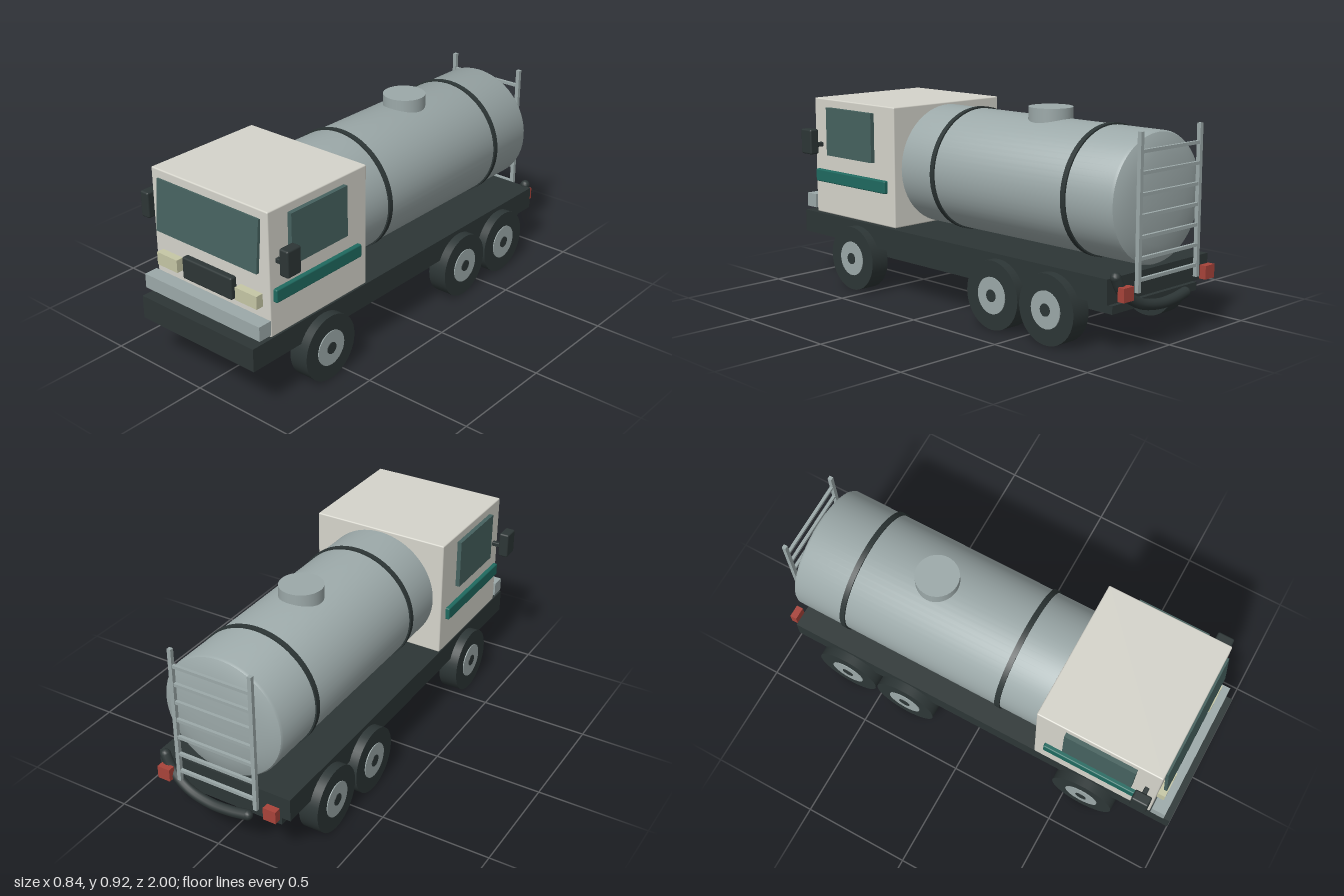
import * as THREE from 'three';
import { RoundedBoxGeometry } from 'three/addons/geometries/RoundedBoxGeometry.js';
import { toCreasedNormals } from 'three/addons/utils/BufferGeometryUtils.js';

const paint = (name, color) => {
  const m = new THREE.MeshStandardMaterial({ color });
  m.name = name;
  return m;
};

export function createModel() {
  const truck = new THREE.Group();
  truck.name = 'tankerTruck';

  const cabPaint = paint('cabCream', 0xd5d4cb);
  const dark = paint('darkRubber', 0x2d3636);
  const steel = paint('steel', 0x9ca9a9);
  const glass = paint('glass', 0x46625f);
  const teal = paint('teal', 0x1f6a60);
  const lamp = paint('headlightCream', 0xc6c7a5);
  const red = paint('tailRed', 0xa8433a);

  const add = (name, geometry, material, x = 0, y = 0, z = 0, parent = truck) => {
    const mesh = new THREE.Mesh(geometry, material);
    mesh.name = name;
    mesh.position.set(x, y, z);
    parent.add(mesh);
    return mesh;
  };
  // Box given by its low and high corner, with an optional rounded edge
  const box = (name, material, [x0, y0, z0], [x1, y1, z1], r = 0) => {
    const size = [x1 - x0, y1 - y0, z1 - z0];
    const g = r ? new RoundedBoxGeometry(...size, 2, r) : new THREE.BoxGeometry(...size);
    return add(name, g, material, (x0 + x1) / 2, (y0 + y1) / 2, (z0 + z1) / 2);
  };
  // Same box on both sides of the truck
  const pair = (name, material, [x0, y0, z0], [x1, y1, z1], r = 0) => {
    box(name + 'Left', material, [x0, y0, z0], [x1, y1, z1], r);
    box(name + 'Right', material, [-x1, y0, z0], [-x0, y1, z1], r);
  };

  // Chassis
  box('deck', dark, [-0.323, 0.215, -0.94], [0.323, 0.32, 1]);
  box('underframe', dark, [-0.272, 0.165, -0.925], [0.272, 0.2, 0.6]);

  // Cab and its front
  box('cab', cabPaint, [-0.327, 0.328, 0.32], [0.327, 0.88, 0.9], 0.006);
  box('bumper', steel, [-0.332, 0.345, 0.905], [0.332, 0.41, 0.97]);
  const windshield = box('windshield', glass, [-0.287, 0.612, 0.906], [0.287, 0.842, 0.92]);
  windshield.rotation.x = -0.09;
  box('grille', dark, [-0.142, 0.44, 0.895], [0.142, 0.54, 0.93], 0.008);
  pair('headlight', lamp, [0.168, 0.457, 0.895], [0.287, 0.515, 0.935]);

  // Cab sides
  pair('sideWindow', glass, [0.32, 0.615, 0.46], [0.347, 0.842, 0.79]);
  pair('sideStripe', teal, [0.32, 0.482, 0.37], [0.346, 0.541, 0.88], 0.006);
  pair('mirror', dark, [0.373, 0.622, 0.815], [0.42, 0.74, 0.892], 0.008);
  pair('mirrorArm', dark, [0.322, 0.65, 0.842], [0.378, 0.671, 0.863], 0.004);

  // Wheels: tyre, rim and cap along the x axis
  const disc = (r, w, n) => new THREE.CylinderGeometry(r, r, w, n).rotateZ(Math.PI / 2);
  const tyre = disc(0.15, 0.09, 40);
  const rim = disc(0.08, 0.098, 28);
  const cap = disc(0.027, 0.104, 16);
  const axle = disc(0.02, 0.6, 12);
  for (const z of [0.59, -0.345, -0.655]) {
    add('axle', axle, dark, 0, 0.17, z);
    for (const side of [1, -1]) {
      const wheel = new THREE.Group();
      wheel.name = 'wheel';
      wheel.position.set(side * 0.32, 0.15, z);
      add('tyre', tyre, dark, 0, 0, 0, wheel);
      add('rim', rim, steel, 0, 0, 0, wheel);
      add('hubCap', cap, dark, 0, 0, 0, wheel);
      truck.add(wheel);
    }
  }

  // Tank: profile (radius, distance back), turned about the long axis
  const profile = [
    [0, -0.32], [0.274, -0.32], [0.274, 0.912], [0.268, 0.922], [0.24, 0.934],
    [0.19, 0.946], [0.13, 0.953], [0.07, 0.957], [0, 0.958],
  ].map(([r, d]) => new THREE.Vector2(r, d));
  const tankGeo = new THREE.LatheGeometry(profile, 64).rotateX(-Math.PI / 2).scale(1.035, 1, 1);
  add('tank', toCreasedNormals(tankGeo, 0.6), steel, 0, 0.595, 0);
  for (const z of [0.11, -0.67]) {
    const band = new THREE.CylinderGeometry(0.281, 0.281, 0.024, 64, 1).rotateX(Math.PI / 2).scale(1.035, 1, 1);
    add('tankBand', band, dark, 0, 0.595, z);
  }
  add('hatch', new THREE.CylinderGeometry(0.097, 0.097, 0.075, 40), steel, 0, 0.8775, -0.335);

  // Rear ladder
  pair('ladderRail', steel, [0.179, 0.25, -0.992], [0.197, 0.888, -0.974]);
  for (let i = 0; i < 7; i++) {
    const y = 0.3 + i * 0.085;
    box('ladderRung', steel, [-0.188, y - 0.007, -0.99], [0.188, y + 0.007, -0.976]);
  }

  // Tail lights
  pair('tailLight', red, [0.232, 0.23, -1], [0.292, 0.288, -0.968]);

  // Drooping hose at the rear, with closed ends
  const path = [
    [0.285, 0.322, -0.95], [0.25, 0.26, -0.955], [0.16, 0.2, -0.968],
    [0.05, 0.177, -0.975], [-0.05, 0.179, -0.975], [-0.135, 0.19, -0.97],
  ].map((p) => new THREE.Vector3(...p));
  const hose = new THREE.CatmullRomCurve3(path);
  add('hose', new THREE.TubeGeometry(hose, 32, 0.023, 12), dark);
  for (const p of [path[0], path[path.length - 1]]) {
    add('hoseEnd', new THREE.SphereGeometry(0.023, 12, 8), dark, p.x, p.y, p.z);
  }

  return truck;
}
